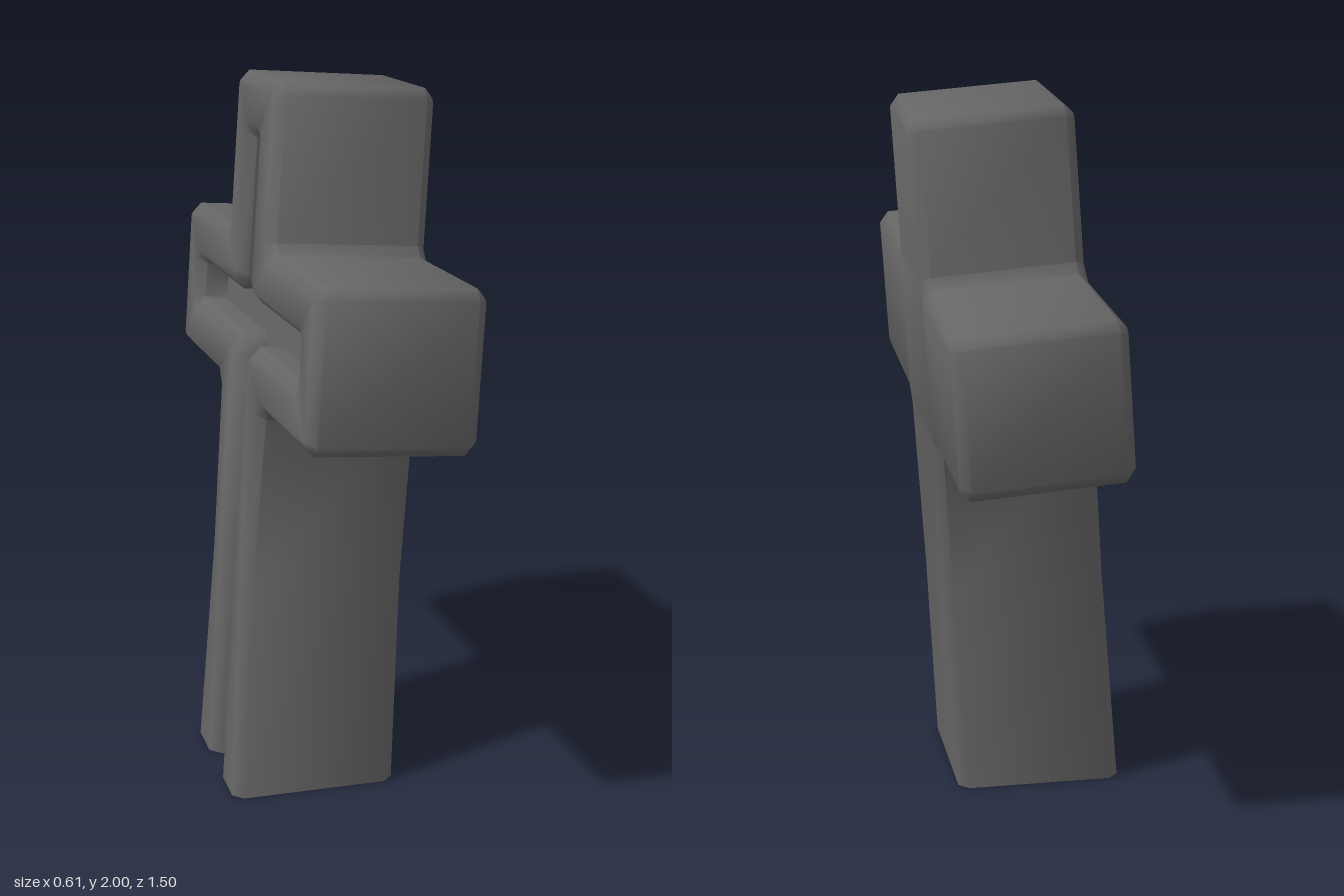
import * as THREE from 'three';
import { toCreasedNormals } from 'three/addons/utils/BufferGeometryUtils.js';

const HALF = 0.236;   // half thickness at the foot
const BEVEL = 0.028;
const LIP = 0.03;     // bevel of the channel rim
const DEPTH = 0.1;    // channel depth

// Cross outline as [z, y], from the +z foot corner over the top to the -z one
const outline = [
  [0.315, 0], [0.24, 0.6], [0.24, 1.08], [0.268, 1.107], [0.72, 1.13], [0.75, 1.158],
  [0.73, 1.54], [0.703, 1.566], [0.237, 1.539], [0.207, 1.565], [0.186, 1.96], [0.158, 1.988],
  [-0.23, 1.966], [-0.257, 1.937], [-0.234, 1.54], [-0.262, 1.511], [-0.72, 1.488], [-0.75, 1.458],
  [-0.726, 1.08], [-0.698, 1.052], [-0.235, 1.077], [-0.205, 1.05], [-0.16, 0.6], [-0.165, 0],
];

// Rim of the cross-shaped channel, open at the foot
const channelRim = [
  [0.17, 0], [0.128, 0.6], [0.103, 1.2], [0.13, 1.227], [0.6, 1.252], [0.627, 1.28],
  [0.617, 1.408], [0.59, 1.432], [0.1, 1.405], [0.071, 1.432], [0.053, 1.818], [0.026, 1.845],
  [-0.095, 1.838], [-0.122, 1.81], [-0.1, 1.42], [-0.127, 1.393], [-0.59, 1.368], [-0.617, 1.34],
  [-0.607, 1.214], [-0.58, 1.188], [-0.102, 1.213], [-0.075, 1.187], [-0.05, 0.6], [-0.012, 0],
];

// Mitred inward offset of an open line whose ends stay on the ground
function inset(line, d) {
  const normal = (a, b) => new THREE.Vector2(a[1] - b[1], b[0] - a[0]).normalize();
  const last = line.length - 1;
  return line.map((p, i) => {
    if (i === 0 || i === last) {
      const n = i === 0 ? normal(p, line[1]) : normal(line[last - 1], p);
      return [p[0] + d / n.x, 0];
    }
    const n1 = normal(line[i - 1], p);
    const n2 = normal(p, line[i + 1]);
    const k = d / (1 + n1.dot(n2));
    return [p[0] + (n1.x + n2.x) * k, p[1] + (n1.y + n2.y) * k];
  });
}

// Places a line at depth w, leaning the cross and thinning it towards the top
const ring = (line, w) => line.map(([z, v]) => new THREE.Vector3(
  -0.07 + 0.077 * v + w * (1 - 0.03 * v),
  v - 0.075 * w * Math.min(1, v),
  z,
));

function crossGeometry() {
  const positions = [];
  const tri = (...pts) => pts.forEach((p) => positions.push(p.x, p.y, p.z));

  // Band of quads between two rings
  const strip = (a, b) => {
    for (let i = 0; i < a.length - 1; i++) {
      tri(a[i], a[i + 1], b[i]);
      tri(a[i + 1], b[i + 1], b[i]);
    }
  };

  // Filled polygon that faces the given direction
  const cap = (pts, facing) => {
    const flat = pts.map((p) => (facing.y ? new THREE.Vector2(p.x, p.z) : new THREE.Vector2(p.z, p.y)));
    for (const [i, j, k] of THREE.ShapeUtils.triangulateShape(flat, [])) {
      const [a, b, c] = [pts[i], pts[j], pts[k]];
      const n = b.clone().sub(a).cross(c.clone().sub(a));
      if (n.dot(facing) > 0) tri(a, b, c);
      else tri(a, c, b);
    }
  };

  const inner = inset(outline, BEVEL);
  const channel = inset(channelRim, LIP);
  const body = [
    ring(inner, HALF), ring(outline, HALF - BEVEL),
    ring(outline, -HALF + BEVEL), ring(inner, -HALF),
  ];
  const groove = [
    ring(channelRim, -HALF), ring(channel, -HALF + LIP), ring(channel, -HALF + DEPTH),
  ];

  // Sides with their bevels, and the channel walls
  for (const rings of [body, groove]) {
    for (let i = 0; i < rings.length - 1; i++) strip(rings[i], rings[i + 1]);
  }

  // Plain face, carved face, channel floor and foot
  const plusX = new THREE.Vector3(1, 0, 0);
  const minusX = new THREE.Vector3(-1, 0, 0);
  cap(body[0], plusX);
  cap([...body[3], ...groove[0].slice().reverse()], minusX);
  cap(groove[2], minusX);
  const all = [...body, ...groove];
  const starts = all.map((r) => r[0]);
  const ends = all.map((r) => r[r.length - 1]).reverse();
  cap([...starts, ...ends], new THREE.Vector3(0, -1, 0));

  const geometry = new THREE.BufferGeometry();
  geometry.setAttribute('position', new THREE.Float32BufferAttribute(positions, 3));
  return toCreasedNormals(geometry, 0.9);
}

export function createModel() {
  const stone = new THREE.MeshStandardMaterial({ color: 0x666666 });
  stone.name = 'dark grey stone';

  const cross = new THREE.Mesh(crossGeometry(), stone);
  cross.name = 'stoneCross';

  const group = new THREE.Group();
  group.name = 'leaningCross';
  group.add(cross);
  return group;
}
